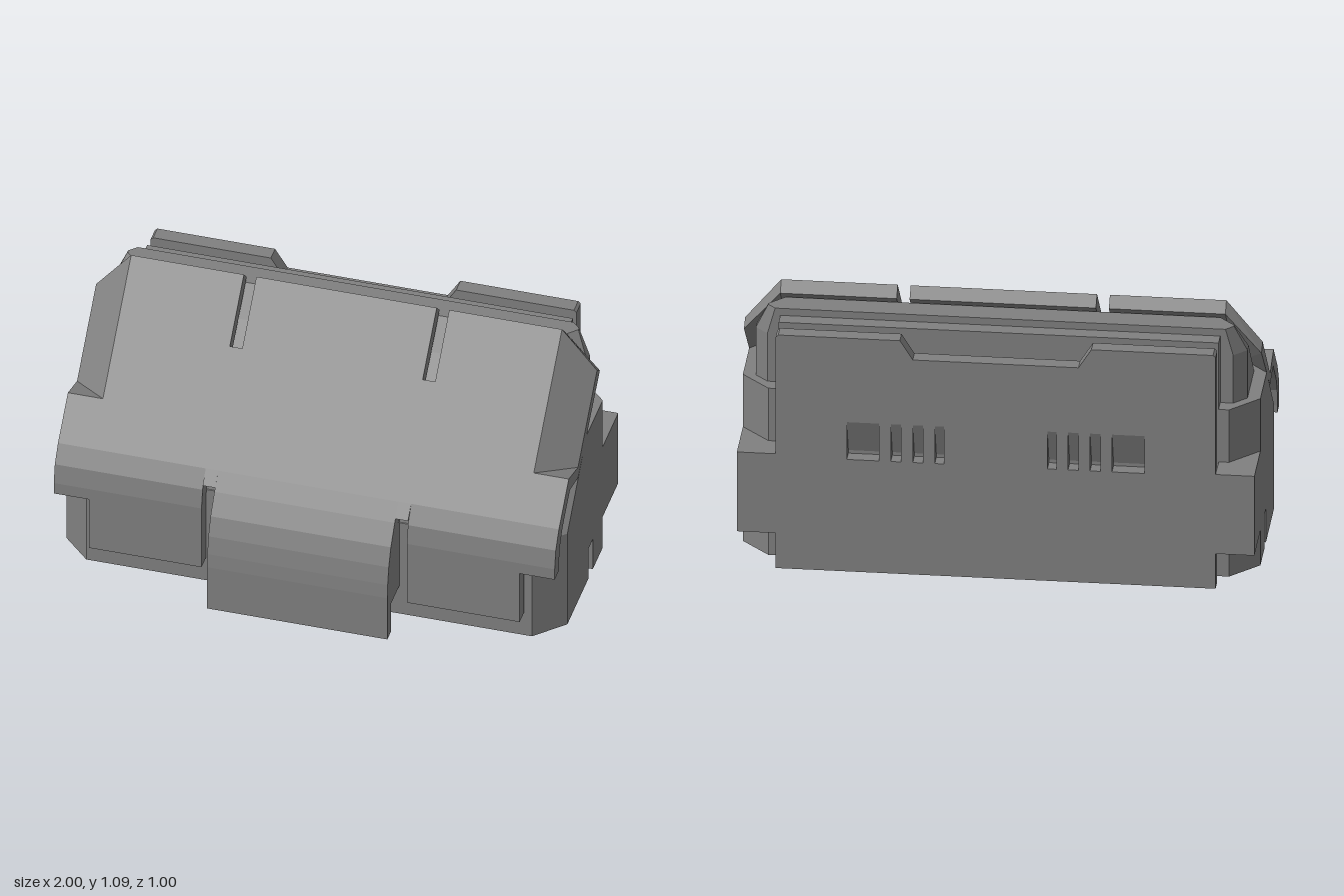
import * as THREE from 'three';
import { ConvexGeometry } from 'three/addons/geometries/ConvexGeometry.js';

const material = new THREE.MeshStandardMaterial({ color: 0x808080, flatShading: true });

export function createModel() {
  const model = new THREE.Group();

  const add = (name, geometry) => {
    const mesh = new THREE.Mesh(geometry, material);
    mesh.name = name;
    model.add(mesh);
  };
  const shapeOf = (pts) => new THREE.Shape(pts.map(([a, b]) => new THREE.Vector2(a, b)));
  const extrude = (shape, depth) => new THREE.ExtrudeGeometry(shape, { depth, bevelEnabled: false });

  // Plan outline of [x, z] points raised from y0 to y1
  const raise = (name, pts, y0, y1) =>
    add(name, extrude(shapeOf(pts.map(([x, z]) => [x, -z])), y1 - y0).rotateX(-Math.PI / 2).translate(0, y0, 0));
  // Side profile of [z, y] points swept from x0 to x1
  const sweep = (name, pts, x0, x1) =>
    add(name, extrude(shapeOf(pts.map(([z, y]) => [-z, y])), x1 - x0).rotateY(Math.PI / 2).translate(x0, 0, 0));
  const hull = (name, pts) => add(name, new ConvexGeometry(pts.map((p) => new THREE.Vector3(...p))));
  const box = (name, x0, x1, y0, y1, z0, z1) =>
    add(name, new THREE.BoxGeometry(x1 - x0, y1 - y0, z1 - z0)
      .translate((x0 + x1) / 2, (y0 + y1) / 2, (z0 + z1) / 2));

  // Sweeps a profile on both sides of the middle
  const sweepPair = (name, pts, x0, x1) => {
    sweep(name + 'Left', pts, x0, x1);
    sweep(name + 'Right', pts, -x1, -x0);
  };
  // Rectangle with clipped corners
  const octagon = (x, zf, zb, cf, cb = cf) => [
    [x, zb + cb], [x, zf - cf], [x - cf, zf], [-x + cf, zf],
    [-x, zf - cf], [-x, zb + cb], [-x + cb, zb], [x - cb, zb],
  ];
  const at = (pts, y) => pts.map(([x, z]) => [x, y, z]);

  // Body base: open rim, then a floor layer, both cut by the side notches
  const n0 = -0.14, n1 = -0.08, wall = 0.06;
  raise('rimFront', [
    [1, n1], [1, 0.22], [0.89, 0.33], [-0.89, 0.33], [-1, 0.22], [-1, n1],
    [-1 + wall, n1], [-1 + wall, 0.195], [-0.865, 0.27], [0.865, 0.27], [1 - wall, 0.195], [1 - wall, n1],
  ], 0, 0.08);
  raise('rimBack', [
    [1, n0], [1, -0.28], [0.89, -0.39], [-0.89, -0.39], [-1, -0.28], [-1, n0],
    [-1 + wall, n0], [-1 + wall, -0.255], [-0.865, -0.33], [0.865, -0.33], [1 - wall, -0.255], [1 - wall, n0],
  ], 0, 0.08);
  raise('bodyFloor', [
    [1, -0.28], [1, n0], [1 - wall, n0], [1 - wall, n1], [1, n1], [1, 0.22], [0.89, 0.33],
    [-0.89, 0.33], [-1, 0.22], [-1, n1], [-1 + wall, n1], [-1 + wall, n0], [-1, n0],
    [-1, -0.28], [-0.89, -0.39], [0.89, -0.39],
  ], 0.08, 0.145);

  // Body, sloping back under the cover
  const plan = octagon(1, 0.33, -0.39, 0.11);
  raise('bodyMiddle', plan, 0.145, 0.44);
  hull('bodySlope', [...at(plan, 0.44), ...at(octagon(1, 0.06, -0.39, 0.11), 0.715)]);
  const shoulder = at(octagon(0.95, -0.14, -0.33, 0.1, 0.05), 0.92);
  hull('bodyUpper', [...at(octagon(0.95, 0.06, -0.33, 0.1, 0.05), 0.715), ...shoulder]);
  hull('bodyTop', [...shoulder, ...at(octagon(0.9, -0.23, -0.33, 0.06, 0.03), 1.03)]);
  sweep('coverSupport', [[0.33, 0.43], [0.325, 0.46], [0.285, 0.52], [0.16, 0.645], [0, 0.805], [0, 0.43]], -0.87, 0.87);
  box('rearSlab', -0.85, 0.85, 0.44, 1.0, -0.39, -0.32);
  box('rearSpacer', -0.77, 0.77, 0.08, 0.85, -0.445, -0.385);

  // Back plate with a lowered middle and rows of vents, each with a slanted floor
  const plate = shapeOf([
    [-0.85, 0], [0.85, 0], [0.85, 0.99], [0.84, 1], [0.37, 1], [0.32, 0.92],
    [-0.32, 0.92], [-0.37, 1], [-0.84, 1], [-0.85, 0.99],
  ]);
  for (const [a, b] of [[0.2, 0.235], [0.28, 0.32], [0.365, 0.405], [0.45, 0.575]]) {
    for (const side of [-1, 1]) {
      const hole = new THREE.Path();
      hole.moveTo(side * a, 0.48).lineTo(side * a, 0.64).lineTo(side * b, 0.64).lineTo(side * b, 0.48).closePath();
      plate.holes.push(hole);
    }
    sweepPair('ventRamp', [[-0.5, 0.64], [-0.44, 0.48], [-0.44, 0.64]], a, b);
  }
  add('backPlate', extrude(plate, 0.06).translate(0, 0, -0.5));

  // Blocks beside the back plate
  box('sideBlockLeft', 0.85, 1, 0.15, 0.49, -0.5, -0.28);
  box('sideBlockRight', -1, -0.85, 0.15, 0.49, -0.5, -0.28);

  // Curved front cover: middle tongue, slotted strips and side panels
  const slopeOuter = [[0.34, 0.55], [0.2, 0.69], [-0.2, 1.09]];
  const slopeInner = [[-0.24, 1.05], [0.16, 0.65], [0.29, 0.52]];
  const tongueInner = [[0.35, 0.45], [0.4, 0.38], [0.43, 0.31], [0.445, 0.2]];
  sweep('coverMiddle', [
    [0.5, 0], [0.5, 0.2], [0.495, 0.26], [0.48, 0.335], [0.45, 0.41], [0.395, 0.488], ...slopeOuter,
    ...slopeInner, ...tongueInner, [0.445, 0],
  ], -0.36, 0.36);
  sweep('coverFiller', [[0.32, 0.135], [0.32, 0.47], ...tongueInner, [0.445, 0.135]], -0.36, 0.36);
  sweepPair('coverStrip', [
    [0.385, 0.5], [0.34, 0.55], [0.2, 0.69], [0, 0.89],
    [-0.04, 0.85], [0.16, 0.65], [0.29, 0.52], [0.345, 0.47],
  ], 0.36, 0.41);
  sweepPair('coverSide', [
    [0.4, 0.115], [0.4, 0.4], [0.385, 0.48], ...slopeOuter,
    ...slopeInner, [0.33, 0.45], [0.34, 0.38], [0.34, 0.115],
  ], 0.41, 0.86);
  sweepPair('coverLobe', [
    [0.4, 0.35], [0.4, 0.4], [0.385, 0.48], [0.34, 0.55], [0.2, 0.69],
    [0.16, 0.65], [0.29, 0.52], [0.33, 0.45], [0.34, 0.38], [0.34, 0.35],
  ], 0.86, 1);

  // Folded-back wings of the cover and the gussets below them
  for (const [s, label] of [[1, 'Left'], [-1, 'Right']]) {
    hull('coverWing' + label, [
      [0.86 * s, 0.69, 0.2], [0.86 * s, 1.09, -0.2], [s, 0.65, 0.07], [s, 0.92, -0.2],
      [0.86 * s, 0.65, 0.16], [0.86 * s, 1.05, -0.24], [s, 0.6, 0.07], [s, 0.89, -0.24],
    ]);
    hull('wingGusset' + label, [
      [0.86 * s, 0.69, 0.2], [s, 0.69, 0.2], [s, 0.65, 0.07],
      [0.86 * s, 0.65, 0.16], [s, 0.625, 0.18], [s, 0.6, 0.07],
    ]);
  }

  return model;
}
